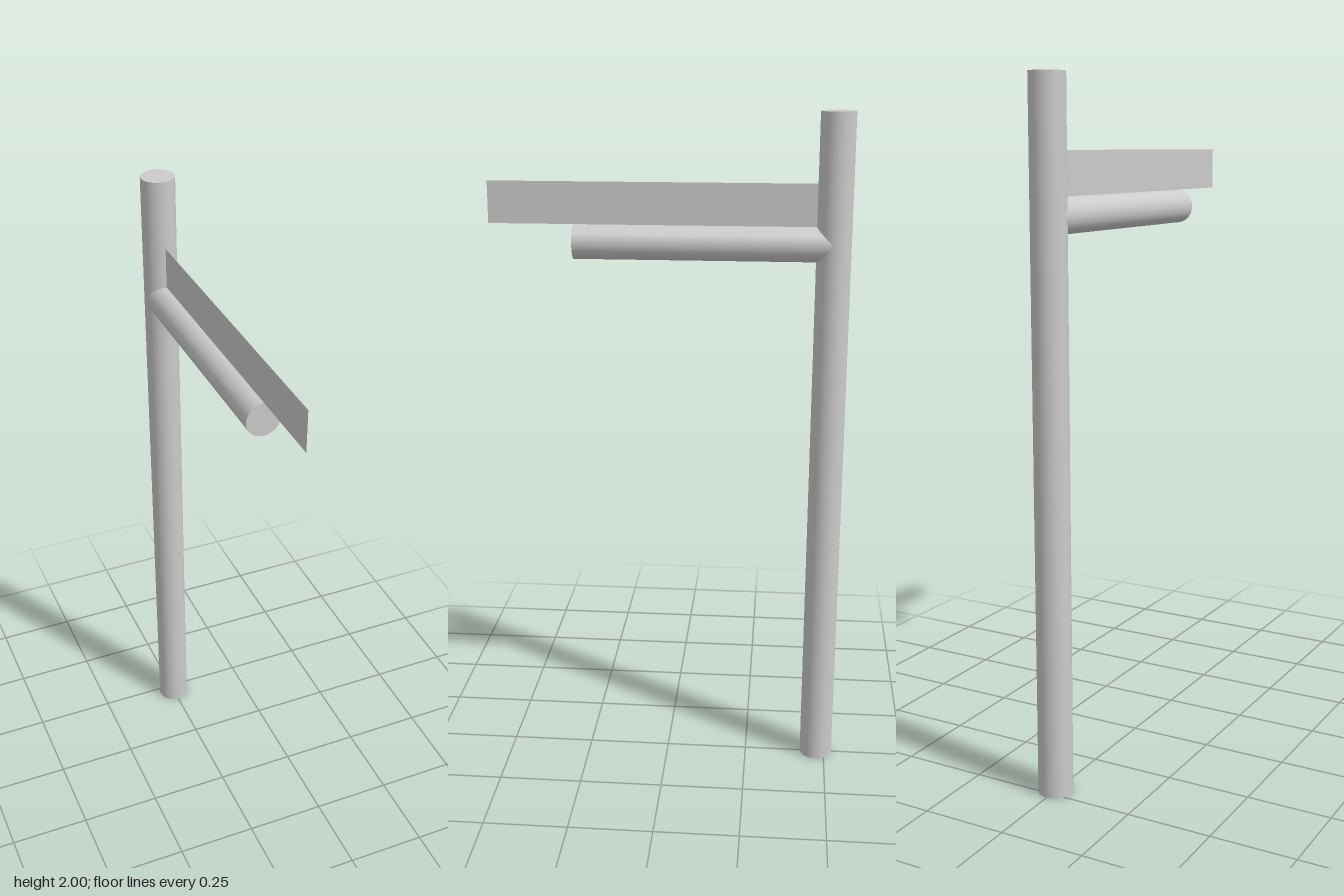
import * as THREE from 'three';

export function createModel() {
  const group = new THREE.Group();
  const grey = new THREE.MeshStandardMaterial({ color: 0xcccccc });
  const thin = new THREE.MeshStandardMaterial({ color: 0xcccccc, side: THREE.DoubleSide });
  const radius = 0.05, postZ = -0.475, armY = 1.628;

  const add = (name, geometry, material, x, y, z) => {
    const mesh = new THREE.Mesh(geometry, material);
    mesh.name = name;
    mesh.position.set(x, y, z);
    group.add(mesh);
  };

  // Upright round post
  add('post', new THREE.CylinderGeometry(radius, radius, 2, 48), grey, 0, 1, postZ);

  // Horizontal round arm, running forward from the post's axis
  const armLength = 0.75;
  const arm = new THREE.CylinderGeometry(radius, radius, armLength, 48).rotateX(Math.PI / 2);
  add('arm', arm, grey, 0, armY, postZ + armLength / 2);

  // Thin upright sign panel resting on the arm, from the post's face forward
  const panelLength = 0.95, panelHeight = 0.122;
  const panel = new THREE.PlaneGeometry(panelLength, panelHeight).rotateY(Math.PI / 2);
  add('signPanel', panel, thin, 0, armY + radius + panelHeight / 2, postZ + radius + panelLength / 2);

  return group;
}
